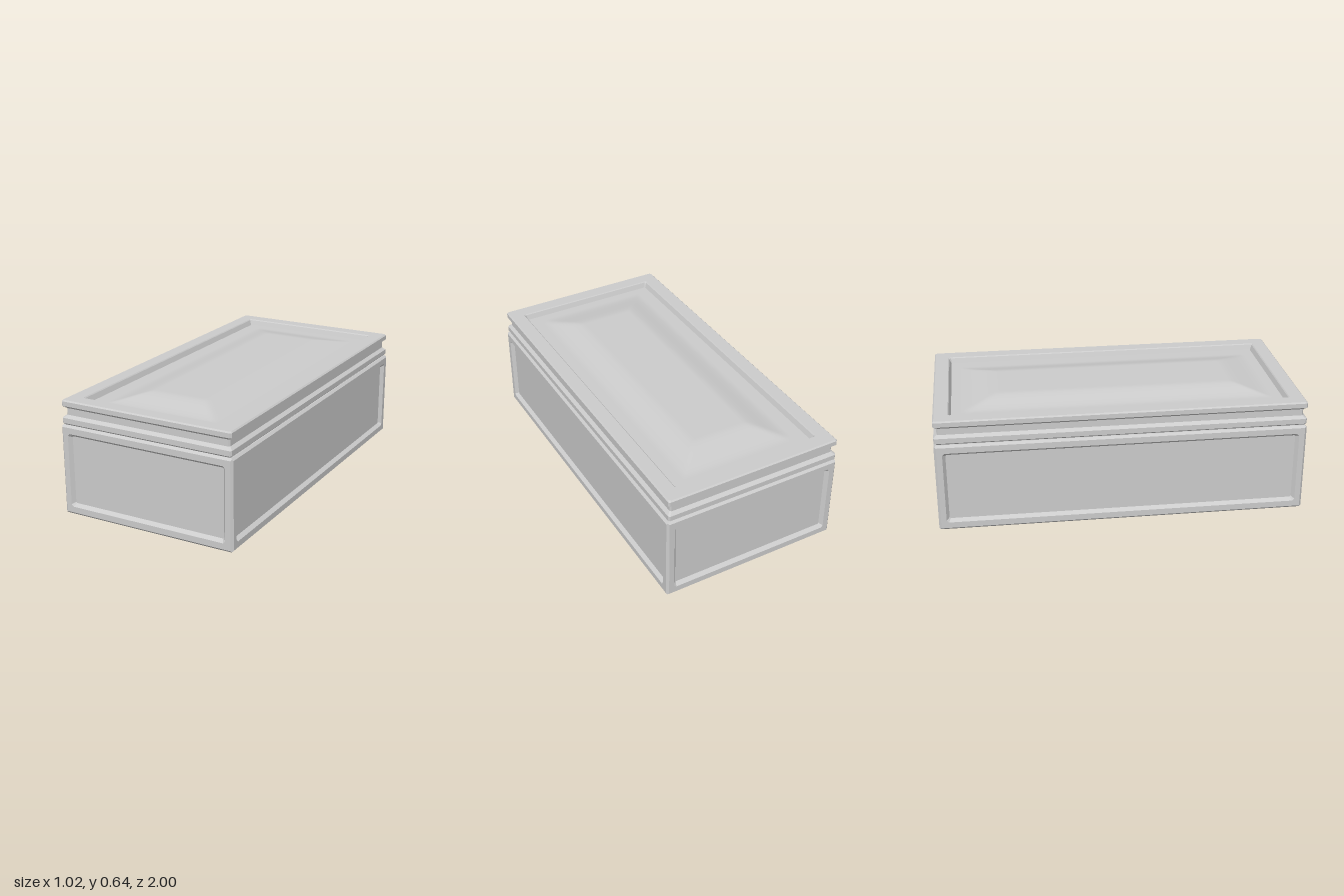
import * as THREE from 'three';

const material = new THREE.MeshStandardMaterial({ color: 0xcccccc, flatShading: true });
const smoothMaterial = new THREE.MeshStandardMaterial({ color: 0xcccccc });

// Corners of a rectangle with chamfered corners, counter-clockwise in the u-v plane
function ring([u, v, depth, c = 0]) {
  const points = [[u, -v + c], [u, v - c], [u - c, v], [-u + c, v],
    [-u, v - c], [-u, -v + c], [-u + c, -v], [u - c, -v]];
  return points.map(([a, b]) => new THREE.Vector3(a, b, depth));
}

// Skin a series of rings [halfU, halfV, depth, chamfer]; optionally close the last one
function loft(name, sections, capEnd = true) {
  const rings = sections.map(ring);
  const pos = [];
  const tri = (a, b, c) => {
    const area = b.clone().sub(a).cross(c.clone().sub(a)).length();
    if (area > 1e-9) for (const p of [a, b, c]) pos.push(p.x, p.y, p.z);
  };
  for (let r = 0; r < rings.length - 1; r++) {
    for (let i = 0; i < 8; i++) {
      const j = (i + 1) % 8, lo = rings[r], hi = rings[r + 1];
      tri(lo[i], lo[j], hi[j]);
      tri(lo[i], hi[j], hi[i]);
    }
  }
  if (capEnd) {
    const end = rings[rings.length - 1];
    for (let i = 1; i < 7; i++) tri(end[0], end[i], end[i + 1]);
  }
  const geometry = new THREE.BufferGeometry();
  geometry.setAttribute('position', new THREE.Float32BufferAttribute(pos, 3));
  geometry.computeVertexNormals();
  const mesh = new THREE.Mesh(geometry, material);
  mesh.name = name;
  return mesh;
}

// One face of the chest: half of the edge bevel, the frame and an optional sunken panel
function chestFace(name, u, v, depth, panel) {
  const b = 0.012;
  const sections = [[u - b / 2, v - b / 2, depth - b / 2], [u - b, v - b, depth]];
  if (panel) {
    sections.push([u - 0.042, v - 0.045, depth, 0.012], [u - 0.058, v - 0.061, depth - 0.02, 0.006]);
  }
  return loft(name, sections);
}

function createChest() {
  const chest = new THREE.Group();
  chest.name = 'chest';
  const hx = 0.508, hy = 0.25, hz = 1;
  for (const [side, angle] of [['front', 0], ['back', Math.PI]]) {
    const face = chestFace(side + 'Panel', hx, hy, hz, true);
    face.rotation.y = angle;
    chest.add(face);
  }
  for (const [side, angle] of [['left', Math.PI / 2], ['right', -Math.PI / 2]]) {
    const face = chestFace(side + 'Panel', hz, hy, hx, true);
    face.rotation.y = angle;
    chest.add(face);
  }
  for (const [side, angle] of [['top', -Math.PI / 2], ['bottom', Math.PI / 2]]) {
    const face = chestFace(side, hx, hz, hy, false);
    face.rotation.x = angle;
    chest.add(face);
  }
  chest.position.y = hy;
  return chest;
}

function createLid() {
  const lid = new THREE.Group();
  lid.name = 'lid';

  // Moulded edge with a groove around it, running over the rim into the recess
  const profile = [
    [0, 0.502], [0.012, 0.502], [0.008, 0.502], [0, 0.51], [0, 0.538], [0.018, 0.553],
    [0.018, 0.589], [0, 0.603], [0, 0.628], [0.007, 0.635],
  ].slice(2);
  const sections = profile.map(([inset, y]) => [0.5 - inset, 0.998 - inset, y, 0.008]);
  sections.push([0.42, 0.918, 0.635, 0.008], [0.415, 0.913, 0.63, 0.008], [0.404, 0.902, 0.602, 0.004]);
  const rim = loft('lidRim', sections, false);
  rim.rotation.x = -Math.PI / 2;
  lid.add(rim);

  // Underside
  const underside = loft('lidUnderside', [[0.492, 0.99, -0.502, 0.008]]);
  underside.rotation.x = Math.PI / 2;
  lid.add(underside);

  // Recessed top with a softly raised middle
  const geometry = new THREE.PlaneGeometry(0.81, 1.806, 54, 108).rotateX(-Math.PI / 2);
  const p = geometry.attributes.position;
  for (let i = 0; i < p.count; i++) {
    const t = Math.min((0.32 - Math.abs(p.getX(i))) / 0.16, (0.84 - Math.abs(p.getZ(i))) / 0.19);
    const linear = THREE.MathUtils.clamp(t, 0, 1);
    const rise = 0.5 * linear + 0.5 * THREE.MathUtils.smoothstep(t, 0, 1);
    p.setY(i, 0.602 + 0.036 * rise);
  }
  geometry.computeVertexNormals();
  const top = new THREE.Mesh(geometry, smoothMaterial);
  top.name = 'raisedTopPanel';
  lid.add(top);
  return lid;
}

export function createModel() {
  const model = new THREE.Group();
  model.name = 'stoneCoffin';
  model.add(createChest(), createLid());
  return model;
}
